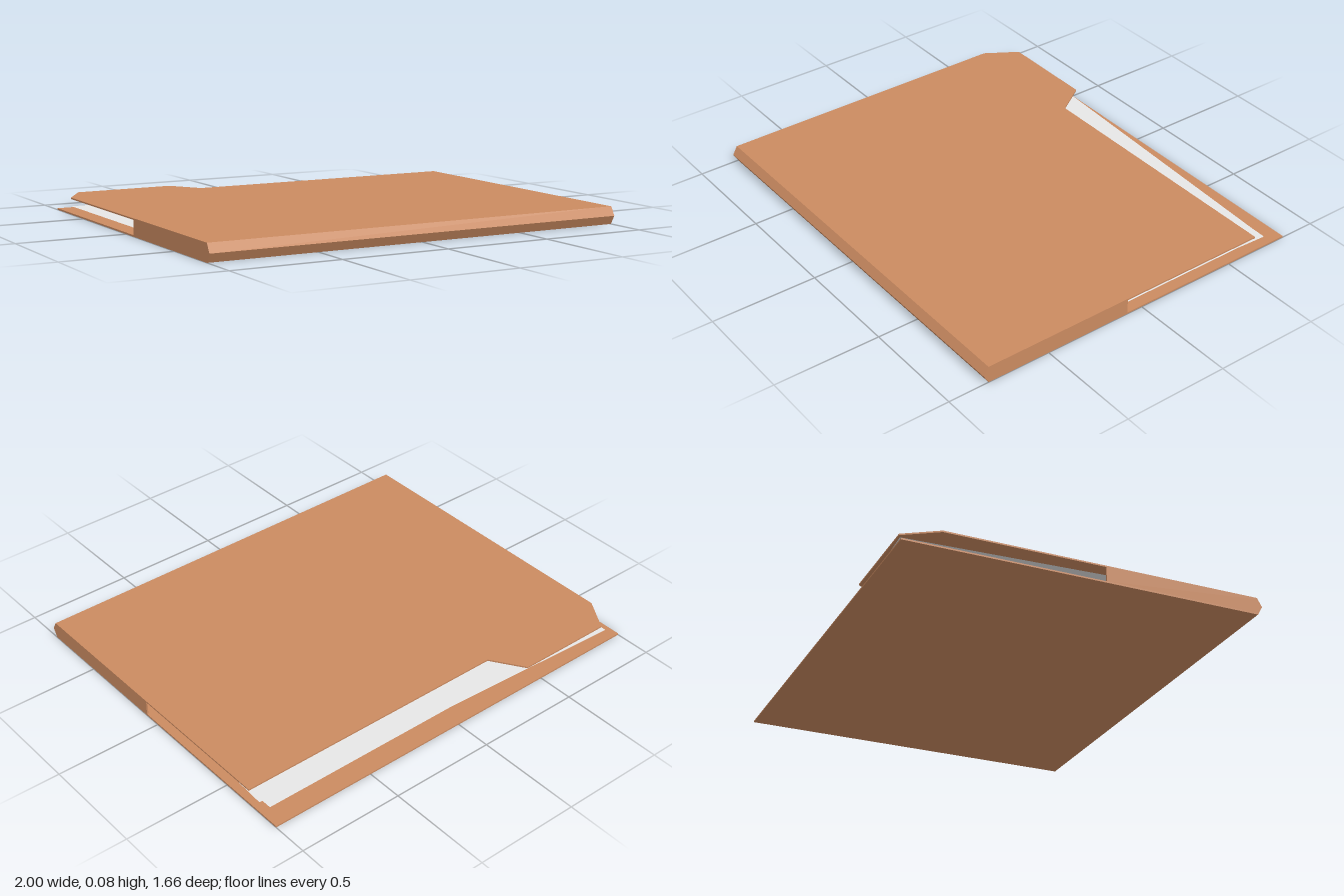
import * as THREE from 'three';

const H = 0.08;        // folder height
const T = 0.007;       // card thickness
const FOLD = 0.805;    // z where the spine starts
const TIP = 0.828;     // z of the spine's ridge
const BACK = -0.828;   // rear edge of the bottom cover
const TOP_BACK = -0.65; // rear edge of the top cover, without the tab

const shapeOf = (points) => new THREE.Shape(points.map(([a, b]) => new THREE.Vector2(a, b)));

// Extrudes a (z, y) profile along x, centred on the given x
function extrudeAcross(points, width, x = 0) {
  const geo = new THREE.ExtrudeGeometry(shapeOf(points), { depth: width, bevelEnabled: false });
  geo.rotateY(-Math.PI / 2);
  geo.translate(x + width / 2, 0, 0);
  return geo;
}

export function createModel() {
  const model = new THREE.Group();
  model.name = 'folder';

  const card = new THREE.MeshStandardMaterial({ color: 0xcb8b61 });
  card.name = 'brown card';
  const paper = new THREE.MeshStandardMaterial({ color: 0xeeeeee, side: THREE.DoubleSide });
  paper.name = 'white paper';

  const add = (name, geo, material) => {
    const mesh = new THREE.Mesh(geo, material);
    mesh.name = name;
    model.add(mesh);
    return mesh;
  };

  // Bottom cover, pointed spine and top cover folded from one sheet
  add('foldedCover', extrudeAcross([
    [BACK, 0], [FOLD, 0], [TIP, H / 2], [FOLD, H], [TOP_BACK, H],
    [TOP_BACK, H - T], [FOLD - 0.004, H - T], [TIP - 0.008, H / 2], [FOLD - 0.004, T], [BACK, T],
  ], 2), card);

  // Index tab on the top cover's rear edge
  const tab = new THREE.ExtrudeGeometry(shapeOf([
    [-1, TOP_BACK], [-0.905, -0.802], [-0.435, -0.802], [-0.335, TOP_BACK],
  ]), { depth: T, bevelEnabled: false });
  tab.rotateX(Math.PI / 2);
  tab.translate(0, H, 0);
  add('indexTab', tab, card);

  // Side panels closing the front half
  for (const [name, side] of [['leftSidePanel', 1], ['rightSidePanel', -1]]) {
    add(name, extrudeAcross([
      [0.08, T], [FOLD - 0.004, T], [TIP - 0.008, H / 2], [FOLD - 0.004, H - T], [0.08, H - T],
    ], T, side * (1 - T / 2)), card);
  }

  // Loose sheets, the upper one slightly askew
  const sheets = [
    ['lowerSheet', 0, 0.025, -0.04, 0],
    ['upperSheet', -0.003, 0.05, -0.06, -0.05],
  ];
  for (const [name, x, y, z, turn] of sheets) {
    const geo = new THREE.PlaneGeometry(1.925, 1.4).rotateX(-Math.PI / 2);
    const sheet = add(name, geo, paper);
    sheet.position.set(x, y, z);
    sheet.rotation.y = turn;
  }

  return model;
}
